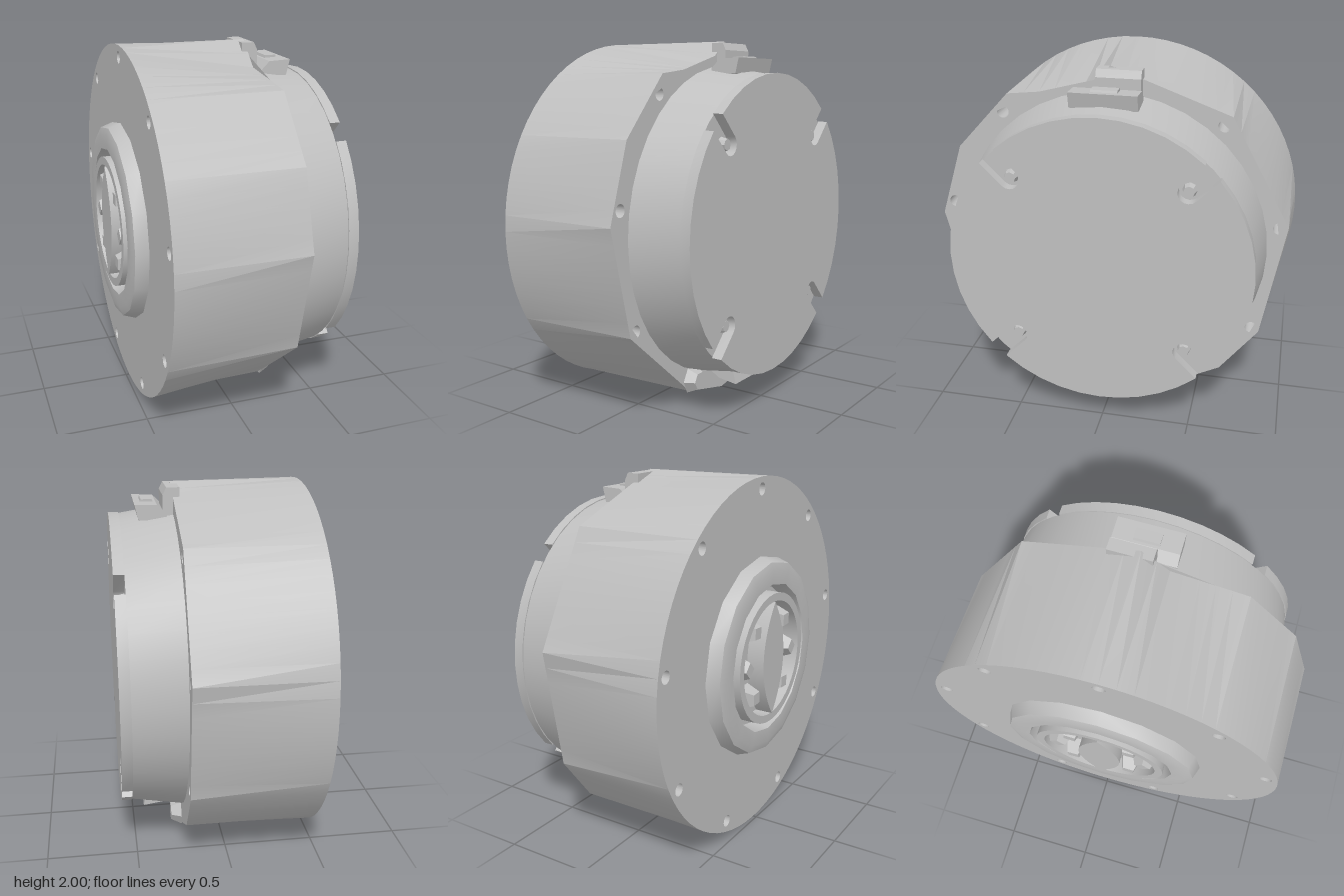
import * as THREE from 'three';
import { toCreasedNormals } from 'three/addons/utils/BufferGeometryUtils.js';

const grey = new THREE.MeshStandardMaterial({ color: 0xbfbfbf });
grey.name = 'grey';

const CY = 1; // height of the main axis, which runs along x
const HUB_Y = 1.01;
const rad = THREE.MathUtils.degToRad;

// Corners of the coarse drum rim: [degrees from +z towards +y, radius]
const RIM = [[-30, 0.985], [5, 1], [30, 1], [55, 1], [80, 0.88], [90, 1], [130, 1],
  [170, 0.985], [210, 0.985], [230, 1], [250, 0.985], [270, 1], [290, 0.985], [330, 0.985]];

// Radius of the rim polygon at an angle in degrees from -30 to 330
function rimRadius(deg) {
  let i = 0;
  while (i < RIM.length - 2 && deg > RIM[i + 1][0]) i++;
  const [[a, p], [b, q]] = [RIM[i], RIM[i + 1]];
  return p * q * Math.sin(rad(b - a)) / (p * Math.sin(rad(deg - a)) + q * Math.sin(rad(b - deg)));
}

export function createModel() {
  const model = new THREE.Group();
  model.name = 'drumHousing';

  const add = (name, geometry, x = 0, y = 0, z = 0) => {
    const mesh = new THREE.Mesh(geometry, grey);
    mesh.name = name;
    mesh.position.set(x, y, z);
    model.add(mesh);
    return mesh;
  };
  // Extrudes a shape along x between two positions
  const extrudeX = (shape, x0, x1) => new THREE.ExtrudeGeometry(shape,
    { depth: x1 - x0, bevelEnabled: false, curveSegments: 24 }).rotateY(Math.PI / 2).translate(x0, 0, 0);
  const slab = (name, shape, x0, x1, y = CY) =>
    add(name, toCreasedNormals(extrudeX(shape, x0, x1), 0.4), 0, y, 0);
  // Turns a profile of [radius, x] points around the axis
  const turned = (name, profile, sides, y = CY) => {
    const g = new THREE.LatheGeometry(profile.map(([r, x]) => new THREE.Vector2(r, -x)), sides);
    return add(name, toCreasedNormals(g.rotateZ(Math.PI / 2), 0.4), 0, y, 0);
  };
  // Short tapered stud along x, wide end towards its base
  const stud = (name, tip, base, length, sides, dir, x, y, z) => {
    const g = new THREE.CylinderGeometry(tip, base, length, sides).rotateZ(-dir * Math.PI / 2);
    return add(name, toCreasedNormals(g, 0.4), x, y, z);
  };
  const circle = (r, x = 0, y = 0) => new THREE.Path().absarc(x, y, r, 0, Math.PI * 2, true);
  const disc = (r, n) => new THREE.Shape(Array.from({ length: n }, (_, i) => {
    const a = (i / n) * Math.PI * 2;
    return new THREE.Vector2(Math.cos(a) * r, Math.sin(a) * r);
  }));

  // Main drum with nine through bolt holes: round at one end, coarse polygon at the other
  const outline = disc(1, 72);
  for (let i = 0; i < 9; i++) {
    const a = rad(10 + 40 * i);
    outline.holes.push(circle(0.034, Math.cos(a) * 0.935, Math.sin(a) * 0.935));
  }
  const drum = extrudeX(outline, -0.48, 0.235);
  const p = drum.attributes.position;
  for (let i = 0; i < p.count; i++) {
    const y = p.getY(i), z = p.getZ(i);
    if (p.getX(i) < 0 || Math.hypot(y, z) < 0.98) continue;
    let deg = THREE.MathUtils.radToDeg(Math.atan2(y, z));
    if (deg < -30) deg += 360;
    const r = rimRadius(deg);
    p.setY(i, y * r);
    p.setZ(i, z * r);
  }
  add('drum', toCreasedNormals(drum, 0.25), 0, CY, 0);

  // Tapered end cap
  turned('capWall', [[0, 0.518], [0.82, 0.518], [0.865, 0.235]], 40);

  // Cap face with four diagonal screw slots open to the rim
  const R = 0.826, W = 0.056, SEAT = 0.66;
  const edge = Math.asin(W / R);
  const face = [];
  for (let q = 0; q < 4; q++) {
    const mid = Math.PI / 4 + q * Math.PI / 2;
    const put = (u, v) => face.push(new THREE.Vector2(
      u * Math.cos(mid) - v * Math.sin(mid), u * Math.sin(mid) + v * Math.cos(mid)));
    put(R * Math.cos(edge), -W);
    for (let i = 0; i <= 8; i++) {
      const t = -Math.PI / 2 - (i / 8) * Math.PI;
      put(SEAT + W * Math.cos(t), W * Math.sin(t));
    }
    for (let i = 0; i < 10; i++) {
      const t = edge + (i / 10) * (Math.PI / 2 - 2 * edge);
      put(R * Math.cos(t), R * Math.sin(t));
    }
  }
  slab('capFace', new THREE.Shape(face), 0.518, 0.575);

  // Screw heads in the slots
  for (const sy of [-1, 1]) for (const sz of [-1, 1]) {
    stud('capScrew', 0.03, 0.04, 0.04, 8, 1, 0.535, CY + sy * 0.467, sz * 0.467);
  }

  // Side profile [x, y] drawn out along z
  const ridge = (name, points, width, z = 0) => {
    const g = new THREE.ExtrudeGeometry(new THREE.Shape(points.map(([x, y]) => new THREE.Vector2(x, y))),
      { depth: width, bevelEnabled: false });
    return add(name, g.translate(0, 0, -width / 2), 0, 0, z);
  };
  // Top latch: sloped base, flared tab and small button
  ridge('latchBase', [[0.2, 1.82], [0.29, 1.83], [0.29, 1.95], [0.27, 1.99], [0.2, 1.99]], 0.24, -0.05);
  ridge('latchTab', [[0.27, 1.82], [0.42, 1.82], [0.44, 1.905], [0.32, 1.90], [0.27, 1.85]], 0.36);
  ridge('latchButton', [[0.33, 1.89], [0.41, 1.89], [0.40, 1.915], [0.34, 1.915]], 0.14);

  // Bottom tab with a bolt boss on each side
  ridge('bottomTab', [[0.23, 0.19], [0.27, 0.16], [0.33, 0.125], [0.44, 0.11], [0.42, 0.19]], 0.36);
  for (const s of [-1, 1]) {
    stud('bottomBoss', 0.05, 0.08, 0.06, 6, 1, 0.262, 0.14, s * 0.315);
  }

  // Raised hub ring on the opposite end
  turned('hubRing', [[0.565, -0.478], [0.54, -0.55], [0.5, -0.562], [0.42, -0.56], [0.395, -0.48]], 16, HUB_Y);

  // Hub insert: round rim, upright bar and wedge lugs
  const insert = disc(0.37, 36);
  insert.holes.push(circle(0.325));
  slab('hubInsertRim', insert, -0.572, -0.478, HUB_Y);

  const bar = new THREE.Shape();
  bar.moveTo(0, -0.325);
  bar.quadraticCurveTo(0.24, 0, 0, 0.325);
  bar.quadraticCurveTo(-0.24, 0, 0, -0.325);
  slab('hubBar', bar, -0.58, -0.478, HUB_Y);

  for (const deg of [-48, 0, 48, 132, 180, 228]) {
    const t = rad(deg);
    stud('hubLug', 0.045, 0.08, 0.09, 4, -1, -0.523, HUB_Y + 0.25 * Math.sin(t), 0.25 * Math.cos(t))
      .rotation.x = -t;
  }
  return model;
}
